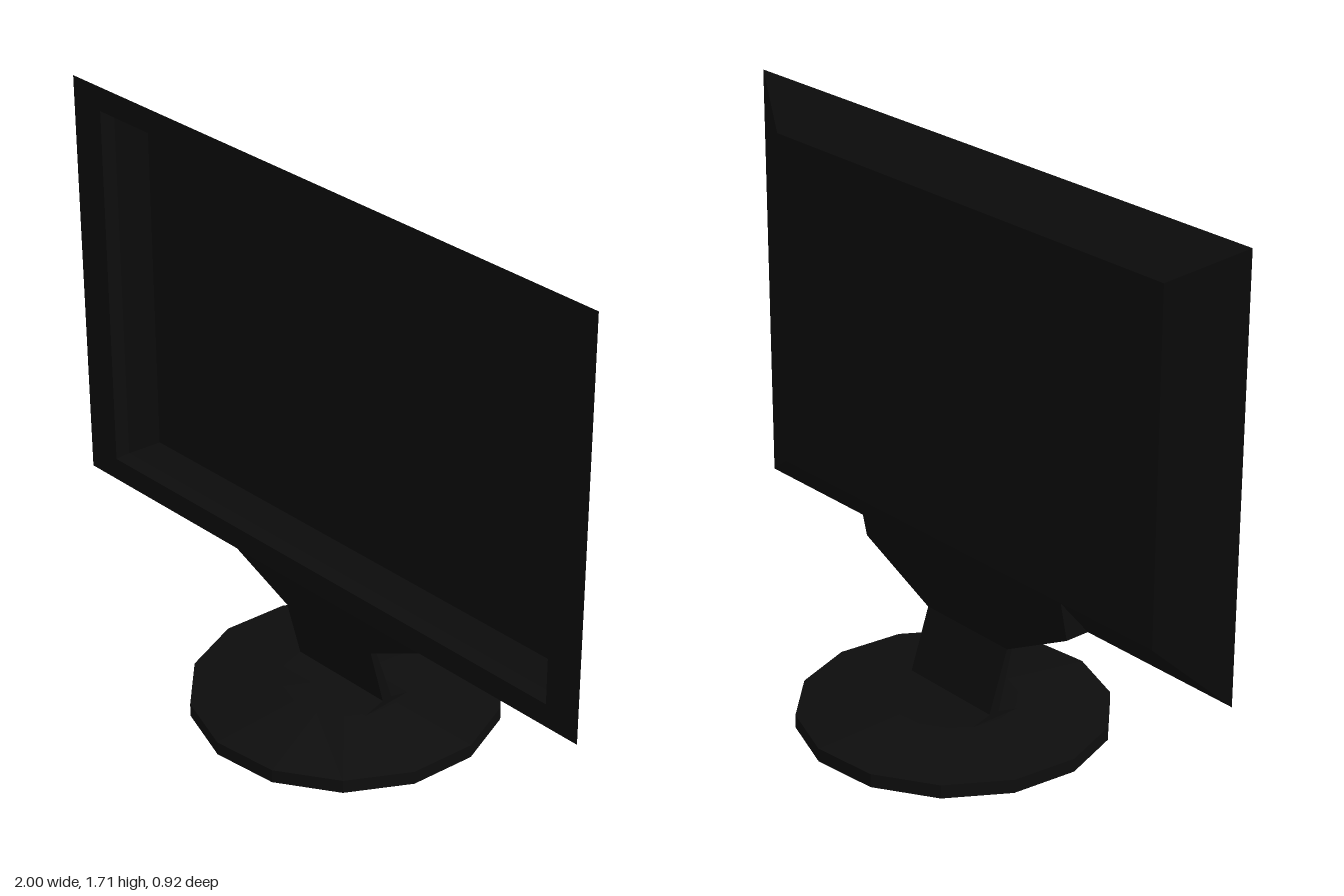
import * as THREE from 'three';

// Skin a list of four-cornered rings; optional flat caps close the two ends.
function loft(rings, capStart, capEnd) {
  const pos = [];
  const quad = (a, b, c, d) => [a, b, c, a, c, d].forEach((p) => pos.push(...p));
  for (let r = 0; r < rings.length - 1; r++) {
    const a = rings[r], b = rings[r + 1];
    for (let i = 0; i < 4; i++) {
      const j = (i + 1) % 4;
      quad(a[i], a[j], b[j], b[i]);
    }
  }
  const first = rings[0], last = rings[rings.length - 1];
  if (capStart) quad(first[3], first[2], first[1], first[0]);
  if (capEnd) quad(last[0], last[1], last[2], last[3]);
  const g = new THREE.BufferGeometry();
  g.setAttribute('position', new THREE.Float32BufferAttribute(pos, 3));
  g.computeVertexNormals();
  return g;
}

// Upright rectangle at depth z, and level rectangle at height y
const upright = (w, y0, y1, z) => [[-w, y0, z], [w, y0, z], [w, y1, z], [-w, y1, z]];
const level = (w, z0, z1, y) => [[-w, y, z1], [w, y, z1], [w, y, z0], [-w, y, z0]];

export function createModel() {
  const model = new THREE.Group();
  const black = new THREE.MeshStandardMaterial({ color: 0x0d0d0d });
  black.name = 'black plastic';

  const add = (name, geometry) => {
    const mesh = new THREE.Mesh(geometry, black);
    mesh.name = name;
    model.add(mesh);
    return mesh;
  };

  // Housing: tapered back, front bezel, recess wall and sloping inner border
  const screenRing = upright(0.8, 0.54, 1.585, 0.013);
  add('housing', loft([
    upright(0.8, 0.54, 1.585, 0.01),
    upright(1, 0.415, 1.71, 0.115),
    upright(0.885, 0.487, 1.635, 0.115),
    upright(0.885, 0.487, 1.635, 0.065),
    screenRing,
  ], true, false));

  // Screen at the bottom of the recess
  add('screen', loft([screenRing], false, true));

  // Neck: spread foot, slanted stem, and a flare that meets the housing
  add('neck', loft([
    level(0.175, -0.08, 0.09, 0.067),
    level(0.175, -0.015, 0.02, 0.085),
    level(0.175, 0.05, 0.07, 0.275),
    level(0.44, 0.035, 0.085, 0.415),
    level(0.44, 0.035, 0.115, 0.415),
    level(0.44, 0.01, 0.012, 0.54),
  ], false, true));

  // Base: shallow fourteen-sided disc
  const profile = [[0, 0], [0.465, 0], [0.465, 0.042], [0.19, 0.067], [0, 0.069]]
    .map(([r, y]) => new THREE.Vector2(r, y));
  const disc = new THREE.LatheGeometry(profile, 14).toNonIndexed();
  disc.computeVertexNormals();
  add('base', disc).rotation.y = THREE.MathUtils.degToRad(19.3);

  return model;
}
